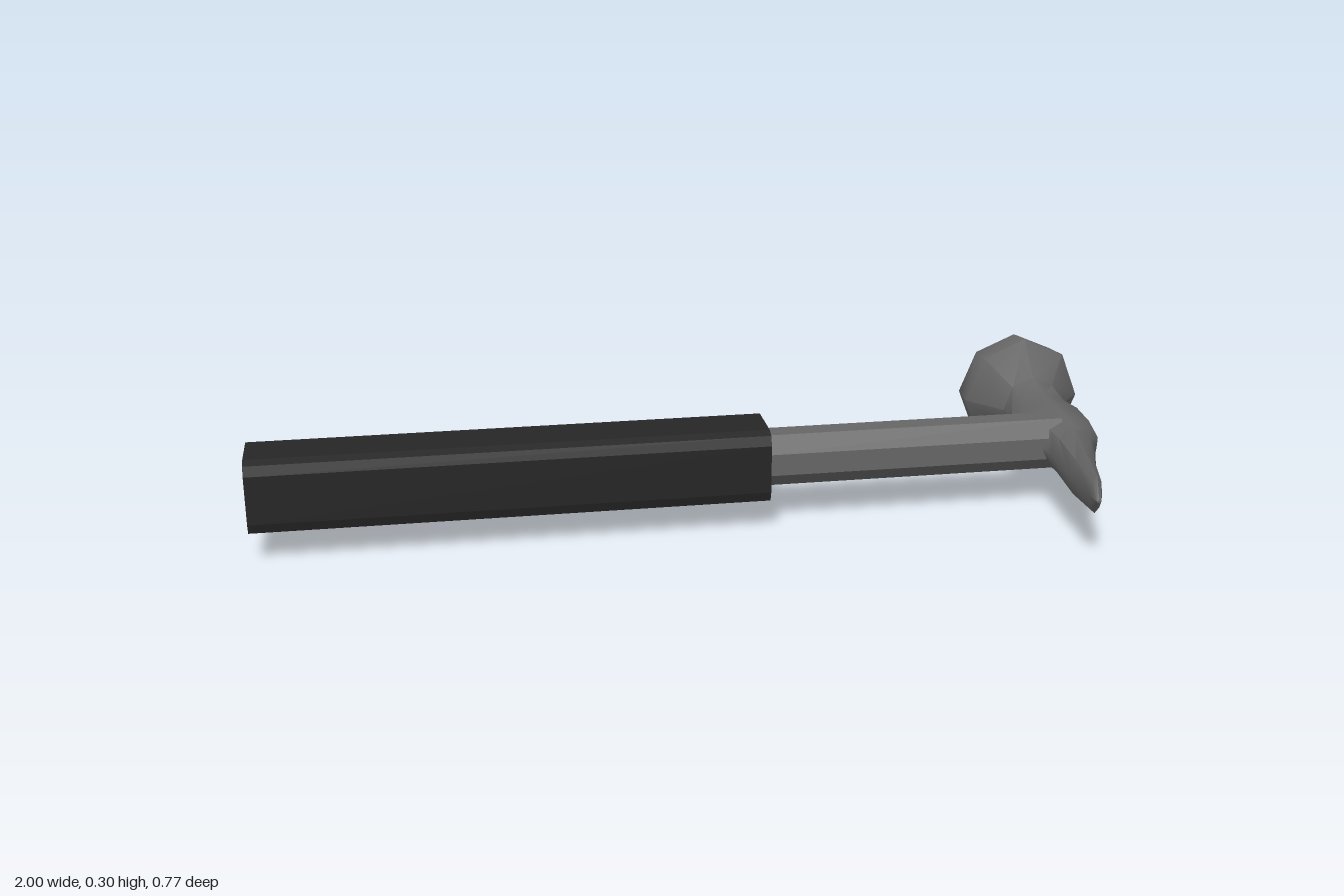
import * as THREE from 'three';
import { toCreasedNormals } from 'three/addons/utils/BufferGeometryUtils.js';

const CENTRE_Y = 0.15;
const SIDES = 8;

// Prism along x; profile points are (-z, y) offsets from the handle axis
function prism(name, profile, x0, x1, material) {
  const shape = new THREE.Shape(profile.map(([u, v]) => new THREE.Vector2(u, v)));
  const geometry = new THREE.ExtrudeGeometry(shape, { depth: x1 - x0, bevelEnabled: false });
  geometry.rotateY(Math.PI / 2);
  const mesh = new THREE.Mesh(geometry, material);
  mesh.name = name;
  mesh.position.set(x0, CENTRE_Y, -0.004);
  return mesh;
}

// Mirrors the corner points of one quadrant into a closed outline
function mirrored(quadrant) {
  const back = [...quadrant].reverse();
  return [
    ...quadrant,
    ...back.map(([u, v]) => [-u, v]),
    ...quadrant.map(([u, v]) => [-u, -v]),
    ...back.map(([u, v]) => [u, -v]),
  ];
}

// Octagonal loft along z through sections [z, min x, max x, half height]
function loft(sections) {
  const positions = [];
  const index = [];
  for (const [z, x0, x1, h] of sections) {
    for (let j = 0; j < SIDES; j++) {
      const a = (j / SIDES) * Math.PI * 2;
      positions.push((x0 + x1) / 2 + Math.cos(a) * (x1 - x0) / 2, CENTRE_Y + Math.sin(a) * h, z);
    }
  }
  for (let i = 0; i < sections.length - 1; i++) {
    for (let j = 0; j < SIDES; j++) {
      const k = (j + 1) % SIDES;
      const a = i * SIDES + j, b = i * SIDES + k;
      index.push(a, b, b + SIDES, a, b + SIDES, a + SIDES);
    }
  }
  // End caps
  const last = (sections.length - 1) * SIDES;
  for (let j = 1; j < SIDES - 1; j++) {
    index.push(0, j + 1, j);
    index.push(last, last + j, last + j + 1);
  }
  const geometry = new THREE.BufferGeometry();
  geometry.setAttribute('position', new THREE.Float32BufferAttribute(positions, 3));
  geometry.setIndex(index);
  return toCreasedNormals(geometry, 0.85);
}

export function createModel() {
  const model = new THREE.Group();
  model.name = 'hammer';
  const steel = new THREE.MeshStandardMaterial({ color: 0x666666 });
  const rubber = new THREE.MeshStandardMaterial({ color: 0x262626 });

  // Grip with softened corners
  const gripCorner = [[0.083, 0.055], [0.075, 0.077], [0.056, 0.085]];
  model.add(prism('grip', mirrored(gripCorner), -1, 0.146, rubber));

  // Octagonal shaft running into the head
  const shaftCorner = [[0.06, 0.025], [0.025, 0.06]];
  model.add(prism('shaft', mirrored(shaftCorner), 0.14, 0.84, steel));

  // Head: striking face, flare, neck, eye and tapering peen
  const head = new THREE.Mesh(loft([
    [-0.385, 0.722, 0.992, 0.141],
    [-0.31, 0.716, 1.0, 0.15],
    [-0.225, 0.785, 0.925, 0.08],
    [-0.15, 0.781, 0.93, 0.061],
    [-0.085, 0.766, 0.943, 0.064],
    [0, 0.766, 0.94, 0.06],
    [0.045, 0.785, 0.921, 0.058],
    [0.1, 0.791, 0.896, 0.057],
    [0.235, 0.786, 0.846, 0.057],
    [0.345, 0.789, 0.817, 0.043],
    [0.385, 0.79, 0.8, 0.003],
  ]), steel);
  head.name = 'head';
  model.add(head);

  return model;
}
